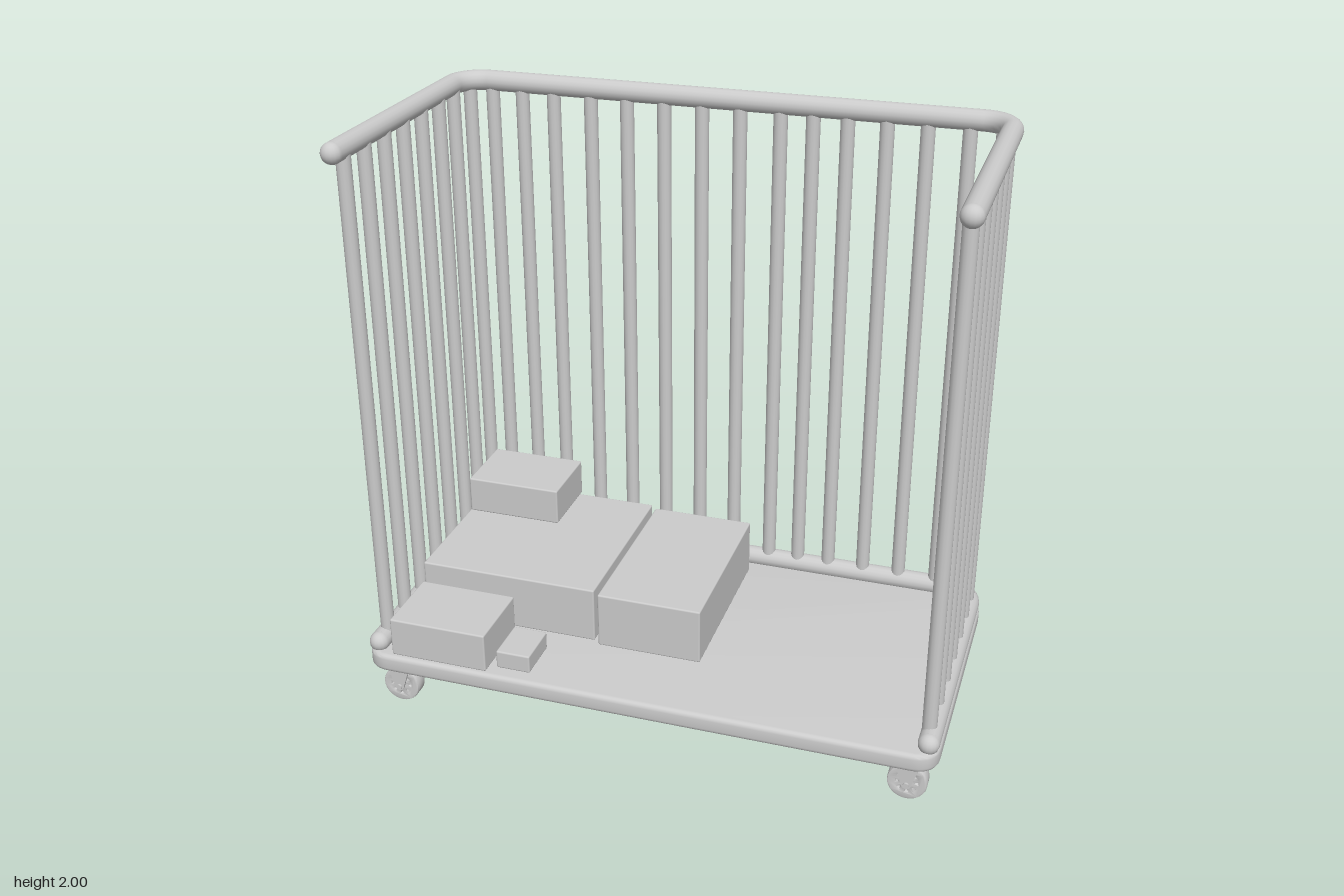
import * as THREE from 'three';
import { RoundedBoxGeometry } from 'three/addons/geometries/RoundedBoxGeometry.js';
import { toCreasedNormals } from 'three/addons/utils/BufferGeometryUtils.js';

const grey = new THREE.MeshStandardMaterial({ color: 0xcccccc });

function add(parent, name, geometry, x = 0, y = 0, z = 0) {
  const mesh = new THREE.Mesh(geometry, grey);
  mesh.name = name;
  mesh.position.set(x, y, z);
  parent.add(mesh);
  return mesh;
}

// Deck plate: rounded rectangle with softened rims, wider radius at the back
function deckGeometry() {
  const b = 0.016, w = 0.985 - b, d = 0.513 - b, f = 0.07, r = 0.12;
  const s = new THREE.Shape(); // shape y becomes -z
  s.moveTo(-w + f, -d);
  s.lineTo(w - f, -d);
  s.quadraticCurveTo(w, -d, w, -d + f);
  s.lineTo(w, d - r);
  s.absarc(w - r, d - r, r, 0, Math.PI / 2, false);
  s.lineTo(-w + r, d);
  s.absarc(-w + r, d - r, r, Math.PI / 2, Math.PI, false);
  s.lineTo(-w, -d + f);
  s.quadraticCurveTo(-w, -d, -w + f, -d);
  const g = new THREE.ExtrudeGeometry(s, {
    depth: 0.065 - 2 * b, bevelThickness: b, bevelSize: b, bevelSegments: 4, curveSegments: 10,
  });
  g.rotateX(-Math.PI / 2).translate(0, 0.155 + b, 0);
  return toCreasedNormals(g, 0.6);
}

// U-shaped tube open to the front, with domed ends
function addRail(parent, name, y) {
  const x = 0.948, back = -0.48, front = 0.46, r = 0.1, radius = 0.035;
  const rail = new THREE.Group();
  rail.name = name;
  const v = (a, c) => new THREE.Vector3(a, y, c);
  const path = new THREE.CurvePath();
  path.add(new THREE.LineCurve3(v(-x, front), v(-x, back + r)));
  path.add(new THREE.CubicBezierCurve3(v(-x, back + r), v(-x, back + r * 0.45), v(-x + r * 0.45, back), v(-x + r, back)));
  path.add(new THREE.LineCurve3(v(-x + r, back), v(x - r, back)));
  path.add(new THREE.CubicBezierCurve3(v(x - r, back), v(x - r * 0.45, back), v(x, back + r * 0.45), v(x, back + r)));
  path.add(new THREE.LineCurve3(v(x, back + r), v(x, front)));
  add(rail, 'railTube', new THREE.TubeGeometry(path, 200, radius, 16));
  for (const s of [-1, 1]) add(rail, 'railEnd', new THREE.SphereGeometry(radius, 16, 12), s * x, y, front);
  parent.add(rail);
}

// Wheel disc with spoke openings, and a fork plate on each side
function makeCaster() {
  const caster = new THREE.Group();
  caster.name = 'caster';
  const disc = new THREE.Shape().absarc(0, 0, 0.06, 0, Math.PI * 2);
  const n = 8;
  for (let i = 0; i < n; i++) {
    const a = (i / n) * Math.PI * 2, h = 0.27;
    const hole = new THREE.Path();
    hole.absarc(0, 0, 0.042, a - h, a + h, false);
    hole.absarc(0, 0, 0.022, a + h * 0.7, a - h * 0.7, true);
    hole.closePath();
    disc.holes.push(hole);
  }
  const wheel = new THREE.ExtrudeGeometry(disc, {
    depth: 0.044, bevelThickness: 0.005, bevelSize: 0.005, bevelSegments: 2, curveSegments: 16,
  });
  add(caster, 'wheel', toCreasedNormals(wheel.translate(0, 0.065, -0.022), 0.6));

  const plate = new THREE.Shape();
  plate.moveTo(-0.032, 0.15);
  plate.lineTo(-0.032, 0.115);
  plate.lineTo(-0.016, 0.065);
  plate.absarc(0, 0.065, 0.016, Math.PI, Math.PI * 2, false);
  plate.lineTo(0.032, 0.115);
  plate.lineTo(0.032, 0.15);
  for (const s of [-1, 1]) {
    const g = new THREE.ExtrudeGeometry(plate, { depth: 0.009, bevelEnabled: false, curveSegments: 8 });
    add(caster, 'forkPlate', g, 0, 0, s * 0.036 - 0.0045);
  }
  add(caster, 'forkTop', new THREE.BoxGeometry(0.064, 0.012, 0.081), 0, 0.142, 0);
  add(caster, 'swivel', new THREE.CylinderGeometry(0.03, 0.03, 0.02, 20), 0, 0.15, 0);
  add(caster, 'axle', new THREE.CylinderGeometry(0.01, 0.01, 0.094, 12).rotateX(Math.PI / 2), 0, 0.065, 0);
  return caster;
}

export function createModel() {
  const cart = new THREE.Group();
  cart.name = 'cageCart';

  add(cart, 'deck', deckGeometry());
  addRail(cart, 'bottomRail', 0.24);
  addRail(cart, 'topRail', 1.965);

  // Upright bars between the rails
  const bars = new THREE.Group();
  bars.name = 'bars';
  const bar = new THREE.CylinderGeometry(0.024, 0.024, 1.725, 14, 1, true);
  const backX = [-0.84, -0.73, -0.615, -0.48, -0.35, -0.218, -0.085, 0.047, 0.185, 0.295, 0.41, 0.54, 0.672, 0.807];
  for (const x of backX) add(bars, 'backBar', bar, x, 1.1025, -0.478);
  for (const s of [-1, 1]) {
    for (const z of [0.41, 0.278, 0.145, 0.013, -0.12, -0.252, -0.37]) add(bars, 'sideBar', bar, s * 0.94, 1.1025, z);
    add(bars, 'cornerBar', bar, s * 0.915, 1.1025, -0.455);
  }
  cart.add(bars);

  // Cargo boxes: x0, x1, y0, y1, z0, z1
  const cargo = [
    ['largeBox', -0.89, -0.255, 0.22, 0.42, -0.425, 0.21],
    ['mediumBox', -0.235, 0.13, 0.22, 0.42, -0.405, 0.23],
    ['stackedBox', -0.885, -0.54, 0.42, 0.553, -0.44, -0.185],
    ['frontBox', -0.885, -0.54, 0.22, 0.36, 0.235, 0.495],
    ['smallBox', -0.515, -0.395, 0.22, 0.285, 0.3, 0.46],
  ];
  for (const [name, x0, x1, y0, y1, z0, z1] of cargo) {
    const g = new RoundedBoxGeometry(x1 - x0, y1 - y0, z1 - z0, 2, 0.006);
    add(cart, name, g, (x0 + x1) / 2, (y0 + y1) / 2, (z0 + z1) / 2);
  }

  for (const x of [-0.887, 0.887]) {
    for (const z of [-0.423, 0.423]) {
      const caster = makeCaster();
      caster.position.set(x, 0, z);
      cart.add(caster);
    }
  }
  return cart;
}
